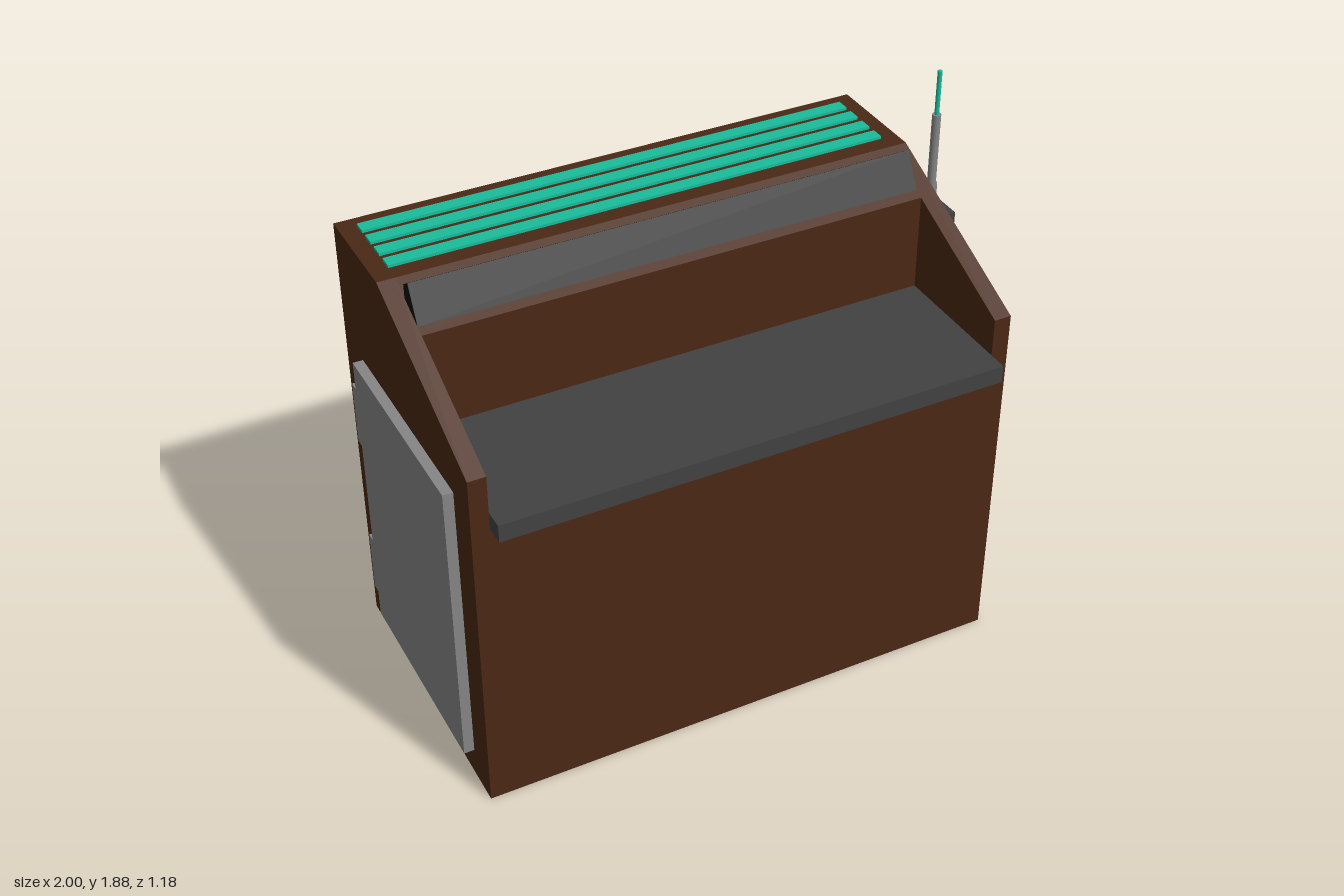
import * as THREE from 'three';

const mat = (color) => new THREE.MeshStandardMaterial({ color, flatShading: true });

export function createModel() {
  const group = new THREE.Group();
  const brown = mat(0x4a2814), black = mat(0x0e0f0f), charcoal = mat(0x424242);
  const grey = mat(0x858585), teal = mat(0x1abc9c), darkTeal = mat(0x15382f);

  const add = (name, geometry, material) => {
    const mesh = new THREE.Mesh(geometry, material);
    mesh.name = name;
    group.add(mesh);
    return mesh;
  };
  // Box given by its limits on each axis
  const box = (name, [x0, x1], [y0, y1], [z0, z1], material) =>
    add(name, new THREE.BoxGeometry(x1 - x0, y1 - y0, z1 - z0)
      .translate((x0 + x1) / 2, (y0 + y1) / 2, (z0 + z1) / 2), material);
  // Side profile of [z, y] points, extruded from x0 to x1
  const prism = (name, points, x0, x1, material) => {
    const shape = new THREE.Shape(points.map(([z, y]) => new THREE.Vector2(-z, y)));
    const geometry = new THREE.ExtrudeGeometry(shape, { depth: x1 - x0, bevelEnabled: false });
    return add(name, geometry.rotateY(Math.PI / 2).translate(x0, 0, 0), material);
  };
  const rod = (name, r, x, [y0, y1], z, material) =>
    add(name, new THREE.CylinderGeometry(r, r, y1 - y0, 16)
      .translate(x, (y0 + y1) / 2, z), material);

  // Cabinet: two sloping side panels around a body with a recessed counter
  const side = [[0.52, 0], [0.52, 1.29], [-0.14, 1.587], [-0.52, 1.587], [-0.52, 0]];
  prism('leftSide', side, 0.835, 0.895, brown);
  prism('rightSide', side, -0.965, -0.905, brown);
  prism('cabinetBody', [[0.52, 0], [0.52, 1.1], [0.06, 1.1], [0.06, 1.497],
    [-0.14, 1.587], [-0.52, 1.587], [-0.52, 0]], -0.905, 0.835, brown);

  // Counter shelf and the tilted bar above the recess
  box('counter', [-0.905, 0.835], [1.095, 1.157], [0.06, 0.588], charcoal);
  prism('tiltedBar', [[0.03, 1.51], [-0.03, 1.63], [-0.068, 1.605], [-0.068, 1.55]],
    -0.905, 0.835, black);

  // Roof slats
  for (let i = 0; i < 4; i++) {
    const z = -0.222 - i * 0.075;
    box('roofSlat', [-0.905, 0.835], [1.575, 1.597], [z - 0.023, z + 0.023], teal);
  }

  // Back panel
  box('backPanel', [-0.905, 0.31], [0.003, 0.873], [-0.588, -0.515], black);

  // Side door with two hinges
  box('sideDoor', [-1, -0.96], [0.108, 1.167], [-0.36, 0.397], grey);
  for (const y of [0.2, 0.83]) box('doorHinge', [-0.998, -0.96], [y, y + 0.23], [-0.4, -0.355], grey);

  // Side unit with its antenna and rear arm
  box('sideUnit', [0.895, 1], [1.21, 1.378], [-0.13, 0.025], charcoal);
  rod('antennaBase', 0.015, 0.943, [1.37, 1.728], -0.044, grey);
  rod('antennaTip', 0.008, 0.943, [1.72, 1.885], -0.044, teal);
  rod('shortPost', 0.017, 0.954, [1.37, 1.463], -0.055, grey);
  box('rearArm', [0.895, 0.948], [1.293, 1.368], [-0.33, -0.13], darkTeal);
  box('armFoot', [0.905, 0.938], [1.282, 1.295], [-0.31, -0.245], black);
  const grip = rod('armGrip', 0.011, 0, [-0.05, 0.05], 0, black);
  grip.position.set(0.918, 1.243, -0.185);
  grip.rotation.z = -0.2;

  return group;
}
